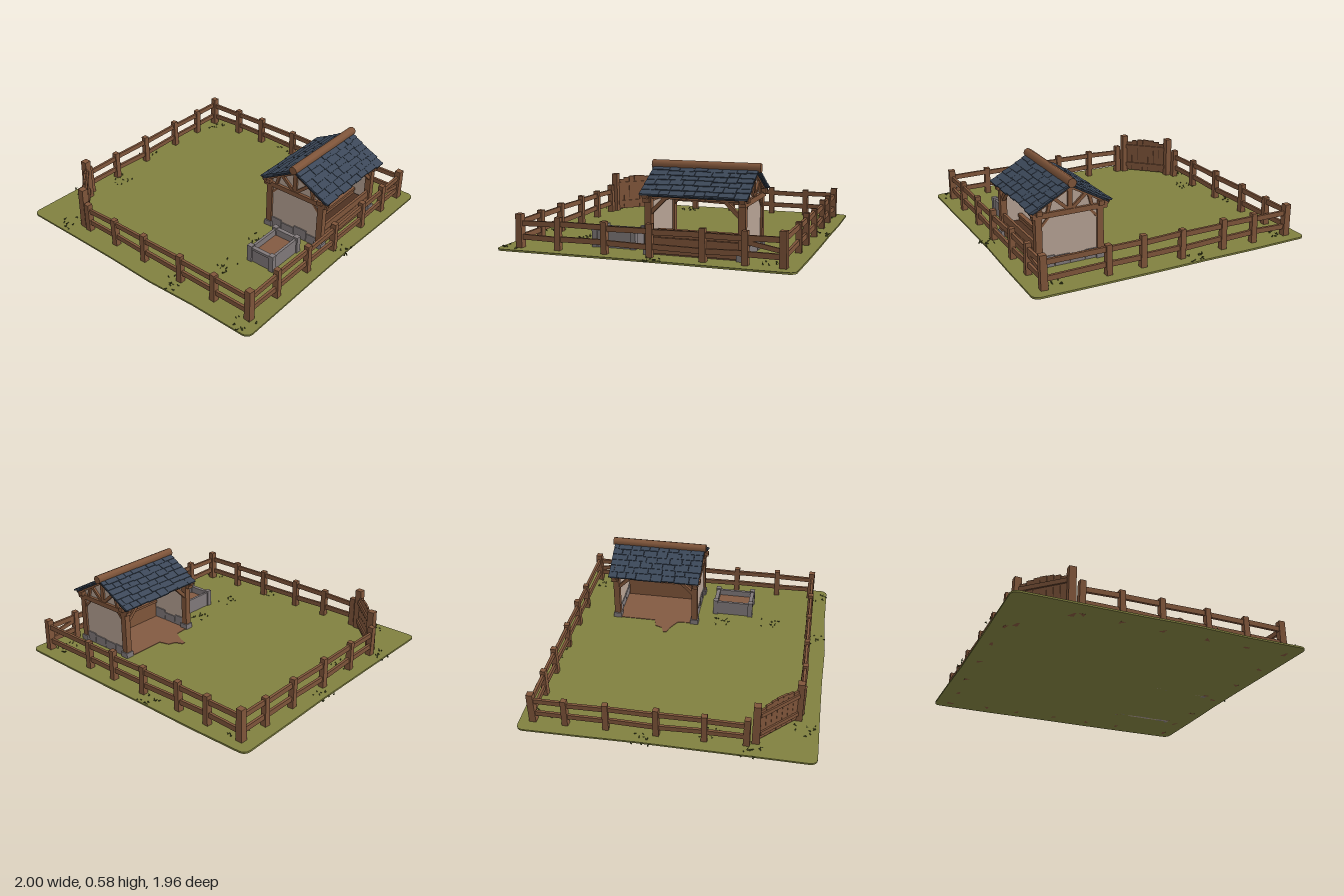
import * as THREE from 'three';

const mat = (name, color) => {
  const m = new THREE.MeshStandardMaterial({ color });
  m.name = name;
  return m;
};

export function createModel() {
  const root = new THREE.Group();
  root.name = 'paddock';
  const M = {
    grass: mat('grass', 0x80803f), tuft: mat('dark grass', 0x454a22), wood: mat('wood', 0x7f553a),
    dark: mat('dark wood', 0x4d3222), slate: mat('slate', 0x3c4859), slateDark: mat('dark slate', 0x252d38),
    plaster: mat('plaster', 0xb5a193), stone: mat('stone', 0x80797a), dirt: mat('dirt', 0x825a42),
  };
  let seed = 7;
  const rnd = (a = 0, b = 1) => {
    seed = (seed * 16807) % 2147483647;
    return a + (b - a) * seed / 2147483647;
  };
  const group = (name, parent = root) => {
    const g = new THREE.Group();
    g.name = name;
    parent.add(g);
    return g;
  };
  const add = (name, geo, m, parent) => {
    const o = new THREE.Mesh(geo, m);
    o.name = name;
    parent.add(o);
    return o;
  };
  // Box given by its centre and size
  const box = (name, m, parent, x, y, z, w, h, d) => {
    const o = add(name, new THREE.BoxGeometry(w, h, d), m, parent);
    o.position.set(x, y, z);
    return o;
  };
  // Squared beam between two points, w wide and h high
  const beam = (name, m, parent, a, b, w, h) => {
    const A = new THREE.Vector3(...a), B = new THREE.Vector3(...b);
    const o = add(name, new THREE.BoxGeometry(w, h, A.distanceTo(B)), m, parent);
    o.position.copy(A).lerp(B, 0.5);
    o.lookAt(B);
    return o;
  };
  // Flat outline lying on the ground
  const plate = (name, m, parent, pts, y, h) => {
    const s = new THREE.Shape(pts.map(p => new THREE.Vector2(p[0], -p[1])));
    const o = add(name, new THREE.ExtrudeGeometry(s, { depth: h, bevelEnabled: false }), m, parent);
    o.rotation.x = -Math.PI / 2;
    o.position.y = y;
    return o;
  };
  const G = 0.012; // ground top

  // Ground with rounded corners and a slightly wavering edge
  const edge = [];
  [[1, 1], [-1, 1], [-1, -1], [1, -1]].forEach(([sx, sz], q) => {
    for (let i = 0; i <= 4; i++) {
      const a = (q + i / 4) * Math.PI / 2;
      edge.push([sx * 0.935 + 0.045 * Math.cos(a), sz * 0.925 + 0.045 * Math.sin(a)]);
    }
    const horizontal = q % 2 === 0;
    for (let i = 1; i < 5; i++) {
      const t = 0.9 - i * 0.36, w = 0.972 + rnd(-0.006, 0.008);
      edge.push(horizontal ? [sx * t, sz * w] : [sx * w, sz * t]);
    }
  });
  plate('ground', M.grass, root, edge.reverse(), 0, G);

  // Grass tufts: small leaning blades in clusters
  const tufts = group('grassTufts');
  const blade = new THREE.ConeGeometry(0.007, 0.022, 3);
  [[-0.82, -0.82], [0.8, -0.8], [-0.7, 0.88], [-0.95, 0.55], [0.88, 0.9], [0.96, -0.1], [-0.95, -0.15],
    [0.45, 0.55], [-0.15, -0.93], [0.42, 0.2], [-0.82, 0.28], [0.3, 0.9]].forEach(([x, z]) => {
    for (let i = 0; i < 10; i++) {
      const b = add('blade', blade, M.tuft, tufts);
      const lim = v => Math.max(-0.99, Math.min(0.99, v));
      b.position.set(lim(x + rnd(-0.06, 0.06)), G + 0.004, Math.max(-0.965, Math.min(0.965, z + rnd(-0.07, 0.07))));
      b.rotation.set(rnd(-1.2, 1.2), rnd(0, 6), rnd(-1.2, 1.2));
    }
  });

  // Fence: runs of posts joined by two rails
  const fence = group('fence');
  const post = (x, z, h, w) => {
    const geo = new THREE.CylinderGeometry(w * 0.66, w * 0.72, h, 4).rotateY(Math.PI / 4);
    const o = add('fencePost', geo.toNonIndexed(), M.wood, fence);
    o.geometry.computeVertexNormals();
    o.position.set(x, h / 2, z);
    o.rotation.set(rnd(-0.02, 0.02), rnd(-0.08, 0.08), rnd(-0.02, 0.02));
  };
  const runs = [
    [-0.87, -0.61, -0.37, -0.06, 0.22, 0.46, 0.885].map(x => [x, -0.88]),
    [-0.88, -0.65, -0.39, -0.05, 0.25, 0.57, 0.84].map(z => [0.885, z]),
    [0.885, 0.61, 0.33, 0.01, -0.26, -0.52].map(x => [x, 0.845]),
    [0.52, 0.25, -0.06, -0.39, -0.66, -0.87].map(z => [-0.88, z]),
  ];
  runs.forEach(run => {
    run.forEach(([x, z], i) => {
      if (i > 0 && i < run.length - 1) post(x, z, 0.215 + rnd(-0.008, 0.01), 0.04);
      if (i === 0) return;
      const [px, pz] = run[i - 1];
      [0.08, 0.175].forEach(y => beam('rail', M.wood, fence,
        [px, y + rnd(-0.006, 0.006), pz], [x, y + rnd(-0.006, 0.006), z], 0.018, 0.034));
    });
  });
  [[-0.875, -0.88], [0.885, -0.88], [0.885, 0.84]].forEach(([x, z]) => post(x, z, 0.232, 0.046));
  [[-0.875, 0.52], [-0.52, 0.845]].forEach(([x, z]) => post(x, z, 0.225, 0.042));
  beam('looseRail', M.wood, fence, [0.885, 0.15, -0.65], [0.885, 0.11, -0.87], 0.014, 0.028);

  // Corner gate: arched planks with battens on both sides
  [[-0.84, 0.575], [-0.58, 0.83]].forEach(([x, z]) => post(x, z, 0.312, 0.05));
  const gate = group('gate');
  gate.position.set(-0.71, 0, 0.7025);
  gate.rotation.y = -Math.atan2(0.255, 0.26);
  for (let i = -3; i <= 3; i++) {
    const top = 0.288 - 0.0028 * i * i;
    box('gatePlank', M.wood, gate, i * 0.0455, (0.025 + top) / 2, 0, 0.0435, top - 0.025, 0.014);
  }
  box('gateBacking', M.dark, gate, 0, 0.142, 0, 0.31, 0.225, 0.008);
  for (const s of [-1, 1]) {
    for (const y of [0.075, 0.225]) box('gateBatten', M.wood, gate, 0, y, s * 0.012, 0.32, 0.03, 0.012);
  }

  // Shelter
  const shed = group('shelter');
  const CX = 0.59, X0 = 0.385, X1 = 0.8, Z0 = -0.61, Z1 = -0.015, ZM = (Z0 + Z1) / 2;
  plate('dirtFloor', M.dirt, shed, [[0.36, -0.62], [0.36, -0.32], [0.29, -0.3], [0.27, -0.25], [0.22, -0.23], [0.22, -0.205],
    [0.27, -0.19], [0.31, -0.17], [0.36, -0.14], [0.37, -0.01], [0.8, -0.01], [0.8, -0.62]].reverse(), G, 0.004);
  const wallShape = new THREE.Shape([[X0, 0], [X1, 0], [X1, 0.39], [CX, 0.52], [X0, 0.39]]
    .map(p => new THREE.Vector2(...p)));
  const wallGeo = new THREE.ExtrudeGeometry(wallShape, { depth: 0.016, bevelEnabled: false });
  for (const [z, s] of [[Z0, -1], [Z1, 1]]) {
    add('gableWall', wallGeo, M.plaster, shed).position.z = z - 0.008;
    // Stone footing
    for (let i = 0; i < 4; i++) {
      const h = 0.085 + rnd(-0.012, 0.01);
      box('footingStone', M.stone, shed, X0 + 0.052 + i * 0.104, h / 2, z, 0.1, h, 0.03);
    }
    // Timber frame of the gable
    for (const x of [X0, X1]) {
      box('shelterPost', M.wood, shed, x, 0.185, z, 0.044, 0.37, 0.044);
      box('postFoot', M.stone, shed, x, 0.025, z, 0.06, 0.05, 0.06);
    }
    box('tieBeam', M.wood, shed, CX, 0.357, z + s * 0.006, 0.5, 0.034, 0.042);
    box('kingPost', M.wood, shed, CX, 0.44, z + s * 0.004, 0.03, 0.16, 0.034);
    for (const m of [-1, 1]) {
      const at = (x, y) => [CX + m * x, y, z + s * 0.008];
      beam('gableRafter', M.wood, shed, at(0, 0.522), at(0.265, 0.375), 0.036, 0.03);
      beam('gableStrut', M.wood, shed, at(0.015, 0.375), at(0.105, 0.455), 0.03, 0.022);
      beam('gableStud', M.wood, shed, at(0.15, 0.365), at(0.13, 0.44), 0.03, 0.02);
      beam('wallBrace', M.wood, shed, at(0.2, 0.275), at(0.13, 0.35), 0.012, 0.016);
    }
  }
  for (const x of [X0, X1]) {
    box('wallPlate', M.wood, shed, x, 0.38, ZM, 0.036, 0.03, 0.68);
    beam('kneeBrace', M.wood, shed, [x, 0.27, Z0 + 0.01], [x, 0.37, Z0 + 0.11], 0.026, 0.024);
    beam('kneeBrace', M.wood, shed, [x, 0.27, Z1 - 0.01], [x, 0.37, Z1 - 0.11], 0.026, 0.024);
  }
  for (const z of [-0.13, -0.25, -0.37, -0.49]) box('crossJoist', M.wood, shed, CX, 0.372, z, 0.46, 0.024, 0.026);

  // Low plank wall and manger along the far side
  for (let i = 0; i < 3; i++) box('lowWallPlank', M.wood, shed, X1, 0.045 + i * 0.052, ZM, 0.018, 0.049, 0.57);
  box('mangerFront', M.wood, shed, 0.69, 0.08, ZM, 0.016, 0.12, 0.55);
  box('mangerFill', M.dark, shed, 0.745, 0.065, ZM, 0.1, 0.09, 0.55);
  box('mangerRim', M.wood, shed, 0.688, 0.145, ZM, 0.03, 0.018, 0.56);

  // Roof: courses of overlapping slates on both slopes
  const roof = group('roof', shed);
  const slope = Math.atan2(0.15, 0.27), L = 0.302, ZC = -0.315;
  for (const m of [-1, 1]) {
    const side = group('roofSlope', roof);
    side.position.set(CX, 0.546, ZC);
    side.rotation.y = m > 0 ? 0 : Math.PI;
    const plane = group('slates', side);
    plane.rotation.z = -slope;
    box('roofBoards', M.slateDark, plane, L / 2, -0.018, 0, L, 0.012, 0.665);
    for (let r = 0; r < 6; r++) {
      let z = -0.34 + rnd(-0.004, 0.004);
      while (z < 0.335) {
        let w = Math.min(rnd(0.06, 0.115), 0.342 - z);
        if (0.342 - z - w < 0.03) w = 0.342 - z;
        const len = 0.062 + rnd(-0.006, 0.006);
        const s = box('slate', M.slate, plane, r * 0.05 + len / 2, -0.004 + rnd(-0.001, 0.002), z + w / 2, len, 0.012, w - 0.003);
        s.rotation.z = 0.09;
        z += w;
      }
    }
  }
  const ridge = add('ridgeBeam', new THREE.CylinderGeometry(0.03, 0.03, 0.705, 8), M.wood, roof);
  ridge.rotation.x = Math.PI / 2;
  ridge.position.set(CX, 0.548, ZC);

  // Feeding trough
  const trough = group('trough');
  trough.position.set(0.625, 0, 0.26);
  box('troughFill', M.dirt, trough, 0, 0.04, 0, 0.17, 0.07, 0.25);
  for (const s of [-1, 1]) {
    box('troughSide', M.stone, trough, s * 0.085, 0.066, 0, 0.018, 0.108, 0.26);
    box('troughEnd', M.stone, trough, 0, 0.062, s * 0.13, 0.18, 0.1, 0.02);
    box('troughEndRim', M.stone, trough, 0, 0.116, s * 0.132, 0.17, 0.018, 0.028);
    for (const t of [-1, 1]) box('troughCorner', M.stone, trough, s * 0.087, 0.068, t * 0.133, 0.036, 0.132, 0.036);
  }
  return root;
}
